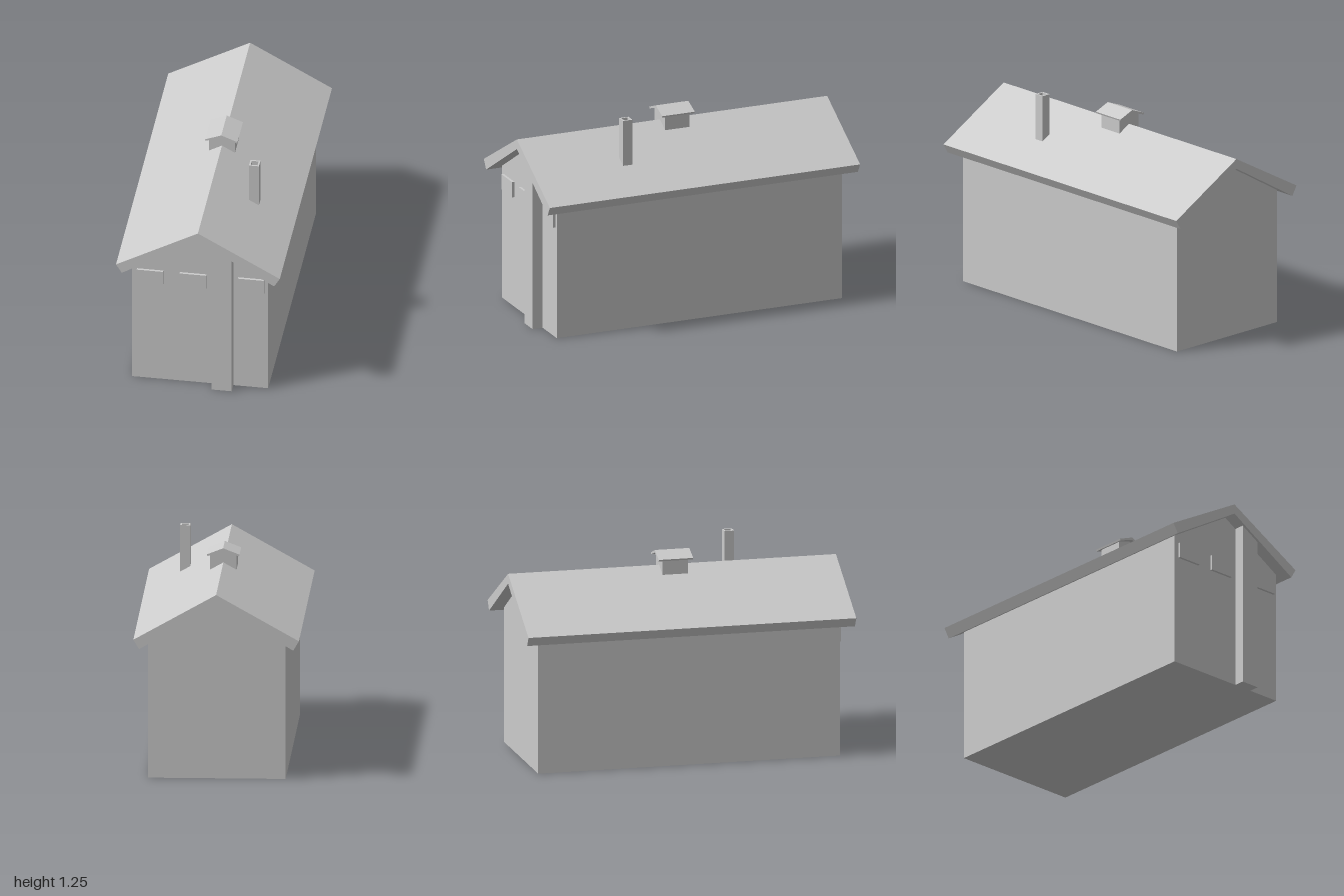
import * as THREE from 'three';

const material = new THREE.MeshStandardMaterial({ color: 0xcccccc, flatShading: true });

// Extrudes a front-view outline from z0 to z1
function prism(name, points, z0, z1) {
  const shape = new THREE.Shape(points.map(([x, y]) => new THREE.Vector2(x, y)));
  const geometry = new THREE.ExtrudeGeometry(shape, { depth: z1 - z0, bevelEnabled: false });
  geometry.translate(0, 0, z0);
  const mesh = new THREE.Mesh(geometry, material);
  mesh.name = name;
  return mesh;
}

// Chevron outline of a gable roof, from the ridge and the two eave corners
function gable(ridge, outer, inner, underRidge) {
  const mirror = ([x, y]) => [-x, y];
  return [[0, ridge], mirror(outer), mirror(inner), [0, underRidge], inner, outer];
}

function square(half, Type) {
  const s = new Type();
  s.moveTo(-half, -half).lineTo(half, -half).lineTo(half, half).lineTo(-half, half).closePath();
  return s;
}

export function createModel() {
  const group = new THREE.Group();
  group.name = 'building';

  // Walls, reaching up to the underside of the roof
  const underside = (x) => 1.065 - 0.598 * Math.abs(x);
  const wall = 0.408;
  group.add(prism('walls', [
    [-wall, 0], [wall, 0], [wall, underside(wall)], [0, 1.065], [-wall, underside(wall)],
  ], -0.92, 0.92));

  // Main roof
  group.add(prism('roof', gable(1.125, [0.49, 0.85], [0.456, 0.793], 1.065), -1, 1));

  // Pilaster on the front wall
  group.add(prism('pilaster', [
    [0.08, 0], [0.2, 0], [0.2, underside(0.2)], [0.08, underside(0.08)],
  ], 0.92, 0.985));

  // Front window panels
  for (const [x0, x1] of [[-0.377, -0.219], [-0.12, 0.039], [0.229, 0.386]]) {
    group.add(prism('window', [[x0, 0.685], [x1, 0.685], [x1, 0.78], [x0, 0.78]], 0.92, 0.935));
  }

  // Ridge vent with its small gable cap
  group.add(prism('ventBase', [
    [-0.078, 1.07], [0.078, 1.07], [0.078, 1.174], [0, 1.201], [-0.078, 1.174],
  ], -0.078, 0.078));
  group.add(prism('ventCap', gable(1.216, [0.097, 1.178], [0.093, 1.168], 1.2), -0.105, 0.105));

  // Hollow square chimney
  const section = square(0.03, THREE.Shape);
  section.holes.push(square(0.02, THREE.Path));
  const flue = new THREE.ExtrudeGeometry(section, { depth: 0.29, bevelEnabled: false });
  flue.rotateX(-Math.PI / 2);
  const chimney = new THREE.Mesh(flue, material);
  chimney.name = 'chimney';
  chimney.position.set(0.247, 0.96, 0.405);
  group.add(chimney);

  return group;
}
